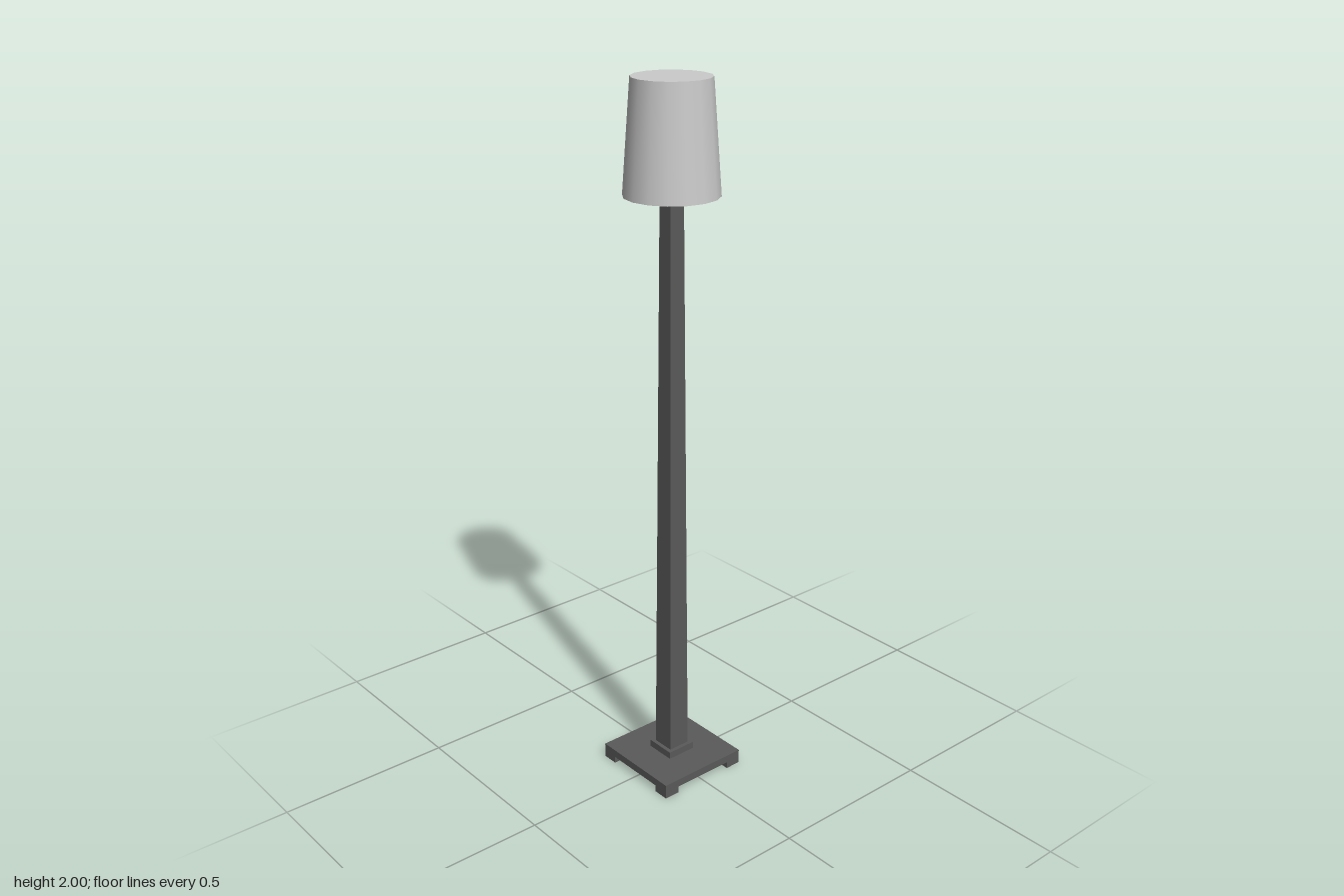
import * as THREE from 'three';

const dark = new THREE.MeshStandardMaterial({ color: 0x5a5a5a });
const shadeMaterial = new THREE.MeshStandardMaterial({ color: 0xcccccc, side: THREE.DoubleSide });

function add(group, name, geometry, material, x, y, z) {
  const mesh = new THREE.Mesh(geometry, material);
  mesh.name = name;
  mesh.position.set(x, y, z);
  group.add(mesh);
  return mesh;
}

// Box standing on y0, reaching y1
function block(group, name, width, y0, y1, x = 0, z = 0) {
  return add(group, name, new THREE.BoxGeometry(width, y1 - y0, width), dark, x, (y0 + y1) / 2, z);
}

// Square post that narrows towards the top
function taperedPost(bottom, top, height) {
  const geometry = new THREE.BoxGeometry(1, height, 1);
  const p = geometry.attributes.position;
  for (let i = 0; i < p.count; i++) {
    const w = p.getY(i) > 0 ? top : bottom;
    p.setX(i, p.getX(i) * w);
    p.setZ(i, p.getZ(i) * w);
  }
  geometry.computeVertexNormals();
  return geometry;
}

export function createModel() {
  const lamp = new THREE.Group();
  lamp.name = 'floorLamp';

  // Base plate on four corner feet
  block(lamp, 'basePlate', 0.282, 0.02, 0.043);
  for (const sx of [-1, 1]) {
    for (const sz of [-1, 1]) block(lamp, 'foot', 0.047, 0, 0.02, sx * 0.1175, sz * 0.1175);
  }

  // Collar and post
  block(lamp, 'collar', 0.09, 0.043, 0.064);
  const y0 = 0.064, y1 = 1.8;
  add(lamp, 'post', taperedPost(0.067, 0.043, y1 - y0), dark, 0, (y0 + y1) / 2, 0);

  // Shade: smooth wall open at the bottom, closed by a flat disc at the top
  const sides = 16, top = 0.106, bottom = 0.128;
  const wall = new THREE.CylinderGeometry(top, bottom, 0.3, sides, 1, true);
  add(lamp, 'shadeWall', wall, shadeMaterial, 0, 1.85, 0);
  const disc = new THREE.CircleGeometry(top, sides);
  disc.rotateX(-Math.PI / 2);
  add(lamp, 'shadeTop', disc, shadeMaterial, 0, 2, 0);

  return lamp;
}
